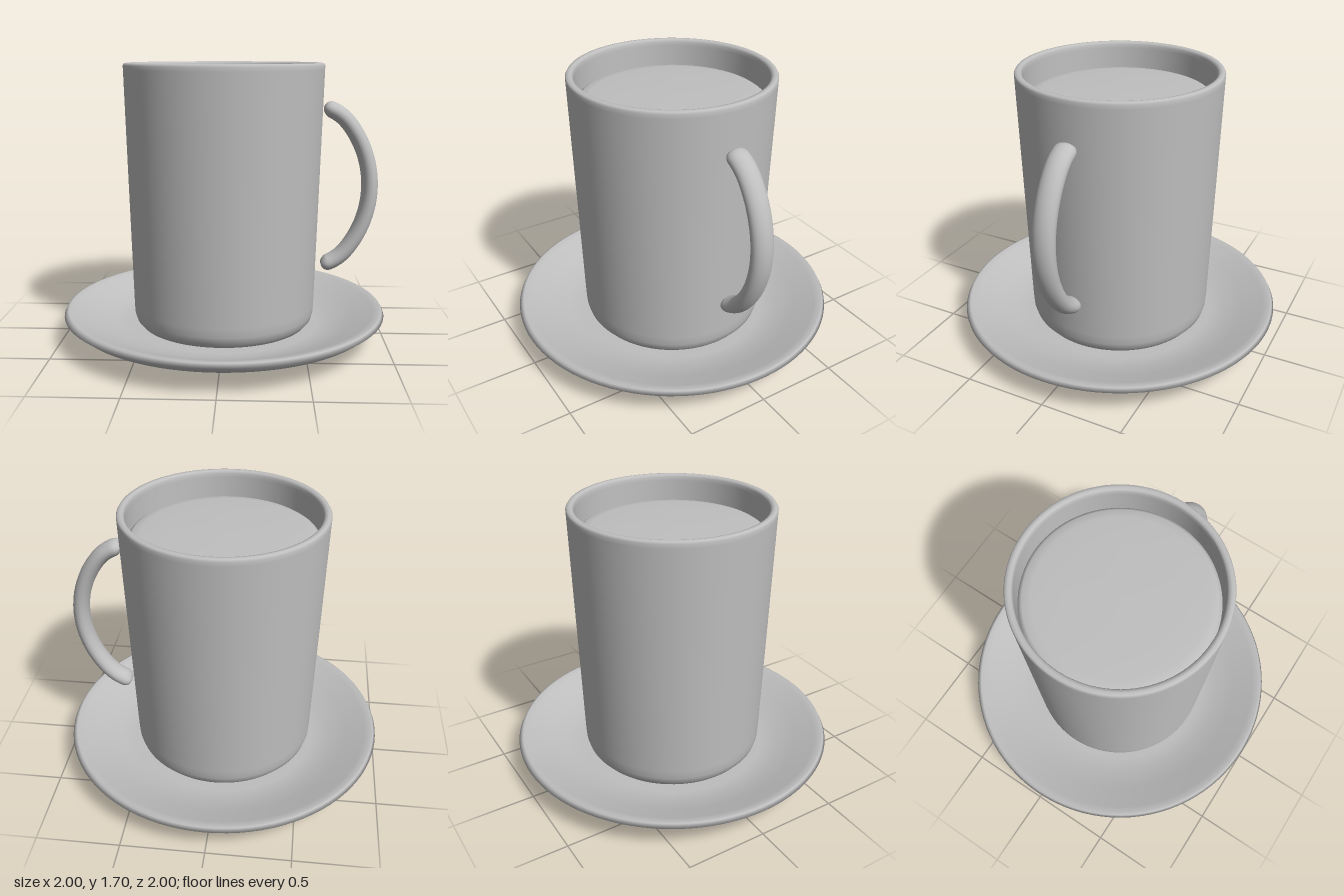
import * as THREE from 'three';

const SIDES = 96;

// Smooth turned part from a [radius, height] profile running from the bottom centre outwards
function turned(name, profile, material) {
  const points = profile.map(([r, y]) => new THREE.Vector2(r, y));
  const mesh = new THREE.Mesh(new THREE.LatheGeometry(points, SIDES), material);
  mesh.name = name;
  return mesh;
}

// Bar of oval section swept along a curve in the xy plane, with rounded closed ends
function ovalBar(curve, halfThick, halfWide, rings = 56, sides = 28) {
  const positions = [], index = [];
  const length = curve.getLength();
  for (let i = 0; i <= rings; i++) {
    const u = (1 - Math.cos((Math.PI * i) / rings)) / 2;
    const p = curve.getPointAt(u), t = curve.getTangentAt(u);
    const toEnd = Math.min(1, (Math.min(u, 1 - u) * length) / halfThick);
    const s = Math.max(0.002, Math.sqrt(1 - (1 - toEnd) ** 2));
    for (let j = 0; j < sides; j++) {
      const a = (2 * Math.PI * j) / sides;
      const n = Math.cos(a) * halfThick * s;
      positions.push(p.x - t.y * n, p.y + t.x * n, Math.sin(a) * halfWide * (0.35 + 0.65 * s) * Math.min(1, s * 4));
      if (i < rings) {
        const k = (j + 1) % sides;
        const a0 = i * sides + j, b0 = i * sides + k;
        index.push(a0, b0, a0 + sides, b0, b0 + sides, a0 + sides);
      }
    }
  }
  const geometry = new THREE.BufferGeometry();
  geometry.setAttribute('position', new THREE.Float32BufferAttribute(positions, 3));
  geometry.setIndex(index);
  geometry.computeVertexNormals();
  return geometry;
}

export function createModel() {
  const model = new THREE.Group();
  model.name = 'cupAndSaucer';
  const ceramic = new THREE.MeshStandardMaterial({ color: 0xbfbfbf });
  ceramic.name = 'grey ceramic';

  // Saucer: flat foot, flared underside, thin rim and shallow dish
  model.add(turned('saucer', [
    [0, 0], [0.3, 0], [0.58, 0.003], [0.6, 0.014], [0.66, 0.05], [0.8, 0.088], [0.94, 0.125],
    [0.998, 0.17], [0.985, 0.195], [0.97, 0.2], [0.93, 0.188],
    [0.8, 0.135], [0.68, 0.095], [0.58, 0.083], [0, 0.08],
  ], ceramic));

  // Cup: bevelled base, slightly flared wall, rounded lip and hollow inside
  model.add(turned('cup', [
    [0, 0.085], [0.49, 0.085], [0.525, 0.095], [0.55, 0.125], [0.562, 0.165], [0.565, 0.22],
    [0.585, 0.95], [0.604, 1.66], [0.605, 1.685], [0.598, 1.697], [0.582, 1.7],
    [0.567, 1.696], [0.56, 1.683], [0.559, 1.66],
    [0.542, 0.95], [0.525, 0.25], [0.5, 0.17], [0.45, 0.15], [0, 0.15],
  ], ceramic));

  // Drink: gently domed surface just below the lip
  model.add(turned('drink', [
    [0.557, 1.5], [0.55, 1.528], [0.53, 1.542], [0.48, 1.55], [0.3, 1.557], [0, 1.56],
  ], ceramic));

  // Handle: bowed bar, mirrored top and bottom
  const middle = 0.945;
  const upper = [[0.606, 0.488], [0.65, 0.477], [0.73, 0.425], [0.82, 0.3], [0.877, 0.15]];
  const path = [...upper, [0.895, 0], ...upper.map(([x, y]) => [x, -y]).reverse()]
    .map(([x, y]) => new THREE.Vector3(x, middle + y, 0));
  const handle = new THREE.Mesh(ovalBar(new THREE.CatmullRomCurve3(path), 0.05, 0.068), ceramic);
  handle.name = 'handle';
  model.add(handle);

  return model;
}
